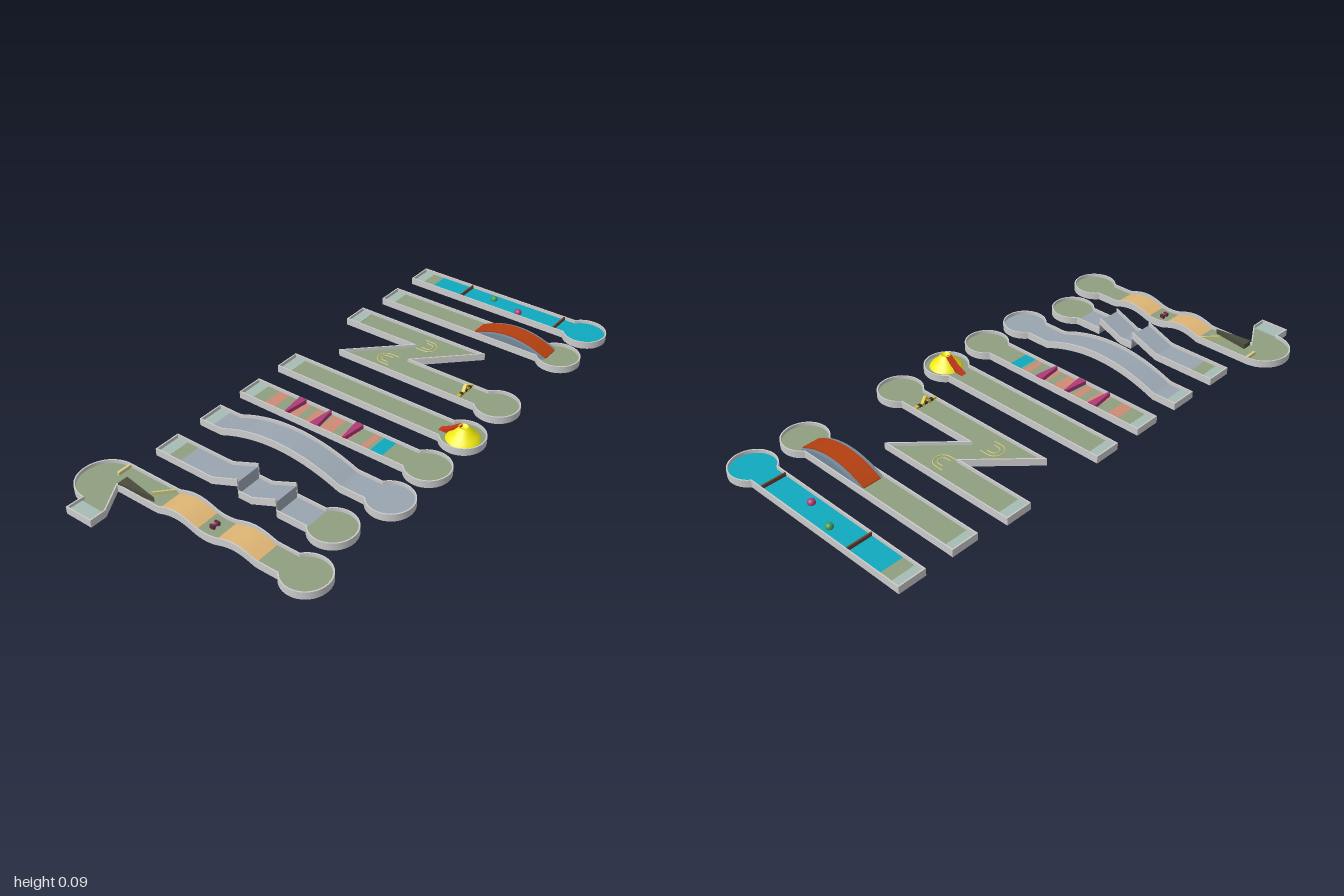
import * as THREE from 'three';
import { toCreasedNormals } from 'three/addons/utils/BufferGeometryUtils.js';

const GREY = 0xcccccc, GREEN = 0x8f9f80, TEE = 0xa6bdb4, BLUE = 0x0fa9bf, SLATE = 0x9aa5b1, TAN = 0xdfb574;
const SALMON = 0xcf8b75, MAGENTA = 0xb03a78, ORANGE = 0xb5400f, YELLOW = 0xf0ea10, BROWN = 0x857660, DARK = 0x4a4c3c;
const FLOOR = 0.02, UNDER = 0.007, LOW = 0.005, TOP = 0.033, R = 0.085, HALF = 0.053;
const flat = () => 0;

function mesh(parent, name, geo, color, double = false) {
  const mat = new THREE.MeshStandardMaterial({ color });
  if (double) mat.side = THREE.DoubleSide;
  const m = new THREE.Mesh(geo, mat);
  m.name = name;
  parent.add(m);
  return m;
}

function box(parent, name, color, w, h, d, x, y, z, ry = 0) {
  const m = mesh(parent, name, new THREE.BoxGeometry(w, h, d), color);
  m.position.set(x, y, z);
  m.rotation.y = ry;
  return m;
}

// Piecewise linear height from [x, y] keys
const linear = keys => x => {
  for (let i = 1; i < keys.length; i++) {
    const [x0, y0] = keys[i - 1], [x1, y1] = keys[i];
    if (x >= x0 && x <= x1) return y0 + (y1 - y0) * (x - x0) / (x1 - x0);
  }
  return 0;
};

function arc(cx, cz, r, a0, a1, n = 32) {
  return Array.from({ length: n + 1 }, (_, i) => {
    const a = a0 + (a1 - a0) * i / n;
    return [cx + r * Math.cos(a), cz + r * Math.sin(a)];
  });
}

// Round putting end joined to a lane of half width HALF
const endArc = (cx, cz) => {
  const a = Math.PI - Math.asin(HALF / R);
  return arc(cx, cz, R, -a, a);
};

// Rim wall swept around a closed outline, lifted by the height rule
function wall(parent, pts, h = flat, t = 0.005) {
  const n = pts.length, pos = [], idx = [];
  for (let i = 0; i < n; i++) {
    const p = pts[(i + n - 1) % n], c = pts[i], q = pts[(i + 1) % n];
    const normal = (a, b) => new THREE.Vector2(a[1] - b[1], b[0] - a[0]).normalize();
    const n0 = normal(p, c), m = n0.clone().add(normal(c, q)).normalize();
    m.multiplyScalar(t / Math.max(0.35, m.dot(n0)));
    const y = h(c[0]), ix = c[0] + m.x, iz = c[1] + m.y;
    pos.push(c[0], LOW + y, c[1], c[0], TOP + y, c[1], ix, TOP + y, iz, ix, LOW + y, iz);
    for (let j = 0; j < 4; j++) {
      const k = (j + 1) % 4, a = i * 4, b = ((i + 1) % n) * 4;
      idx.push(a + j, a + k, b + k, a + j, b + k, b + j);
    }
  }
  const g = new THREE.BufferGeometry();
  g.setAttribute('position', new THREE.Float32BufferAttribute(pos, 3));
  g.setIndex(idx);
  return mesh(parent, 'rimWall', toCreasedNormals(g, 0.5), GREY);
}

// Flat floor with a separate underside
function floor(parent, pts, color, under = color) {
  const g = new THREE.ShapeGeometry(new THREE.Shape(pts.map(p => new THREE.Vector2(p[0], -p[1]))));
  g.rotateX(-Math.PI / 2);
  mesh(parent, 'floor', g, color, true).position.y = FLOOR;
  mesh(parent, 'underside', g, under, true).position.y = UNDER;
}

// Strip of lane floor following the height rule
function strip(parent, x0, x1, z, color, h = flat, under = color) {
  const g = new THREE.PlaneGeometry(x1 - x0, HALF * 2 - 0.006, Math.max(1, Math.round((x1 - x0) / 0.012)), 1);
  g.rotateX(-Math.PI / 2).translate((x0 + x1) / 2, 0, z);
  const p = g.attributes.position;
  for (let i = 0; i < p.count; i++) p.setY(i, h(p.getX(i)));
  g.computeVertexNormals();
  mesh(parent, 'floorStrip', g, color, true).position.y = FLOOR;
  mesh(parent, 'undersideStrip', g, under, true).position.y = UNDER;
}

// Straight lane: strips are [endX, colour, underside]
function lane(root, name, x0, z, cx, strips, endColor, h = flat, under = endColor, keys = []) {
  const g = new THREE.Group();
  g.name = name;
  root.add(g);
  const end = endArc(cx, z), join = end[0][0], xs = [x0, ...keys];
  for (let x = x0 + 0.012; x < join - 0.005; x += 0.012) xs.push(x);
  xs.sort((a, b) => a - b);
  wall(g, [...xs.map(x => [x, z - HALF]), ...end, ...xs.reverse().map(x => [x, z + HALF])], h);
  floor(g, end, endColor, under);
  let x = x0 + 0.003;
  for (const [x1, color, below] of strips) {
    strip(g, x, x1 ?? join, z, color, h, below ?? color);
    x = x1 ?? join;
  }
  return g;
}

function prism(parent, name, color, pts, depth, z) {
  const s = new THREE.Shape(pts.map(p => new THREE.Vector2(p[0], p[1])));
  const g = new THREE.ExtrudeGeometry(s, { depth, bevelEnabled: false });
  return mesh(parent, name, toCreasedNormals(g, 0.5).translate(0, 0, z), color);
}

// Upright wedge from a plan outline in x, z
function planPrism(parent, name, color, pts, y, height) {
  const m = prism(parent, name, color, pts.map(p => [p[0], -p[1]]), height, 0);
  m.rotation.x = -Math.PI / 2;
  m.position.y = y;
  return m;
}

export function createModel() {
  const root = new THREE.Group();
  root.name = 'miniatureGolfCourse';

  // Water lane with two dividers and balls
  const water = lane(root, 'waterLane', -0.365, -0.92, 0.412, [[-0.32, TEE], [-0.27, GREEN], [null, BLUE]], BLUE);
  for (const x of [-0.127, 0.3]) box(water, 'divider', 0x6b3f30, 0.006, 0.014, 0.1, x, 0.026, -0.92);
  for (const [x, z, c] of [[-0.005, -0.936, 0x3f9a5a], [0.127, -0.902, MAGENTA]]) {
    mesh(water, 'ball', new THREE.SphereGeometry(0.014, 16, 12), c).position.set(x, 0.024, z);
  }

  // Arched bridge lane
  const bridge = lane(root, 'bridgeLane', -0.365, -0.708, 0.412, [[-0.32, TEE], [null, GREEN]], GREEN);
  const curve = (lift, n = 24) => Array.from({ length: n + 1 }, (_, i) => {
    const t = i / n * 2 - 1;
    return [0.222 + t * 0.159, lift + 0.042 * (1 - t * t)];
  });
  prism(bridge, 'bridgeSides', 0x74889a, curve(0.018), 0.096, -0.756);
  prism(bridge, 'bridgeDeck', ORANGE, [...curve(0.022), ...curve(0.016).reverse()], 0.07, -0.743).position.y = 0.001;

  // Zigzag lane
  const zig = new THREE.Group();
  zig.name = 'zigzagLane';
  root.add(zig);
  const zigPts = [[-0.384, -0.548], [0.19, -0.548], [-0.012, -0.349], ...endArc(0.395, -0.296),
    [-0.27, -0.243], [-0.066, -0.442], [-0.384, -0.442]];
  wall(zig, zigPts);
  floor(zig, zigPts, GREEN);
  box(zig, 'teeMat', TEE, 0.046, 0.002, 0.098, -0.358, FLOOR + 0.001, -0.495);
  for (const [x, z, turn] of [[-0.018, -0.475, 1], [-0.1, -0.315, -1]]) {
    for (const r of [0.018, 0.034]) {
      const u = [[-turn * r, -r], ...arc(0, 0, r, -Math.PI / 2, Math.PI / 2, 12).map(p => [p[0] * turn, p[1]]), [-turn * r, r]];
      const path = new THREE.CatmullRomCurve3(u.map(p => new THREE.Vector3(x + p[0], FLOOR + 0.001, z + p[1])));
      mesh(zig, 'curvedBumper', new THREE.TubeGeometry(path, 28, 0.0025, 6), 0xc9c77c);
    }
  }
  // Striped gate with a peaked frame
  for (let i = 0; i < 7; i++) box(zig, 'gateBar', i % 2 ? 0x3d3522 : 0xd8c040, 0.012, 0.008, 0.0135, 0.262, 0.034, -0.337 + i * 0.0135);
  for (const s of [-1, 1]) {
    const leg = box(zig, 'gateLeg', 0xe3d040, 0.012, 0.04, 0.005, 0.262, 0.042, -0.296 + s * 0.011);
    leg.rotation.x = -s * 0.55;
  }

  // Volcano lane
  const volcano = lane(root, 'volcanoLane', -0.384, -0.07, 0.395, [[-0.335, TEE, BROWN], [null, GREEN, BROWN]], GREEN, flat, BROWN);
  const profile = [[0.062, 0.02], [0.053, 0.033], [0.035, 0.047], [0.019, 0.068], [0.015, 0.07], [0.012, 0.062], [0, 0.06]];
  const cone = new THREE.LatheGeometry(profile.map(p => new THREE.Vector2(...p)), 32);
  mesh(volcano, 'volcanoCone', cone, YELLOW, true).position.set(0.4, 0, -0.067);
  prism(volcano, 'lavaRamp', 0xc8371c, [[0.305, 0.021], [0.39, 0.021], [0.39, 0.068], [0.38, 0.068], [0.345, 0.042]], 0.024, -0.079);

  // Striped lane with wedge obstacles
  const tiles = [[-0.335, TEE, BROWN], [-0.28, GREEN, BROWN]];
  for (const [a, b] of [[-0.235, -0.185], [-0.132, -0.1], [-0.072, -0.032], [0.022, 0.055], [0.095, 0.17]]) {
    tiles.push([a, SALMON, 0x2f7f88], [b, GREEN, BROWN]);
  }
  tiles.splice(-1, 1, [0.145, GREEN, BROWN], [0.17, SALMON, 0x2f7f88], [0.185, GREEN, BROWN], [0.235, BLUE], [null, GREEN, BROWN]);
  const stripes = lane(root, 'stripedLane', -0.384, 0.142, 0.395, tiles, GREEN, flat, BROWN);
  [-0.172, -0.047, 0.08].forEach((x, i) => {
    const s = i % 2 ? -1 : 1, z = 0.142, w = 0.016;
    const pts = [[x - w, z - s * 0.049], [x + w, z - s * 0.049], [x + 0.004, z + s * 0.049], [x - 0.004, z + s * 0.049]];
    planPrism(stripes, 'wedgeObstacle', MAGENTA, s > 0 ? pts : pts.reverse(), FLOOR, 0.016);
  });

  // Hump-backed lane
  const hump = x => 0.054 * Math.max(0, 1 - ((x + 0.03) / 0.255) ** 2);
  lane(root, 'archedLane', -0.384, 0.349, 0.392, [[-0.335, TEE], [null, SLATE]], SLATE, hump);

  // Jump lane with two take-off ramps
  const keys = [[-0.13, 0], [-0.016, 0.046], [-0.014, 0], [0.04, 0], [0.144, 0.044], [0.146, 0]];
  const jumps = [[-0.335, TEE], [-0.285, GREEN], ...keys.map(k => [k[0], SLATE]), [null, SLATE]];
  lane(root, 'jumpLane', -0.384, 0.563, 0.328, jumps, GREEN, linear(keys), GREEN, keys.map(k => k[0]));

  // Wavy lane with a hooked start
  const wavy = new THREE.Group();
  wavy.name = 'wavyLane';
  root.add(wavy);
  const z = 0.773;
  const wave = x => {
    for (const [a, b, h] of [[-0.167, -0.005, 0.019], [-0.005, 0.075, -0.005], [0.075, 0.24, 0.019]]) {
      if (x > a && x < b) return h * Math.sin(Math.PI * (x - a) / (b - a));
    }
    return 0;
  };
  const run = Array.from({ length: 37 }, (_, i) => -0.19 + i * 0.0125);
  const end = endArc(0.392, z);
  const hook = [[-0.19, z + HALF], [-0.346, z + HALF], [-0.283, 0.935], [-0.283, 0.998], [-0.395, 0.998],
    ...arc(-0.392, 0.827, 0.107, Math.PI / 2, Math.PI * 1.5, 24), [-0.19, z - HALF]];
  wall(wavy, [...run.slice(1).map(x => [x, z - HALF]), ...end, ...run.slice(1).reverse().map(x => [x, z + HALF]), ...hook], wave);
  floor(wavy, hook, GREEN, BROWN);
  floor(wavy, end, GREEN, BROWN);
  let px = -0.19;
  for (const [x, c] of [[-0.167, GREEN], [-0.005, TAN], [0.075, GREEN], [0.24, TAN], [end[0][0], GREEN]]) {
    strip(wavy, px, x, z, c, wave, c === TAN ? 0x9a8358 : BROWN);
    px = x;
  }
  box(wavy, 'teeMat', TEE, 0.1, 0.002, 0.055, -0.339, FLOOR + 0.001, 0.966);
  planPrism(wavy, 'darkWedge', DARK, [[-0.344, 0.783], [-0.2, 0.805], [-0.344, 0.824]], FLOOR, 0.02);
  box(wavy, 'cornerBumper', 0xc9c77c, 0.006, 0.012, 0.08, -0.205, 0.026, 0.755, -0.75);
  box(wavy, 'startBumper', 0xd6cc8a, 0.01, 0.012, 0.055, -0.392, 0.026, 0.752);
  for (const s of [-1, 1]) box(wavy, 'smallPost', 0x5c2a38, 0.018, 0.014, 0.008, 0.03, 0.024, z + s * 0.011);
  box(wavy, 'smallPostBase', MAGENTA, 0.008, 0.012, 0.024, 0.03, 0.023, z);
  box(wavy, 'drainBlock', 0x404040, 0.03, 0.008, 0.1, 0.03, 0.004, z);
  return root;
}
